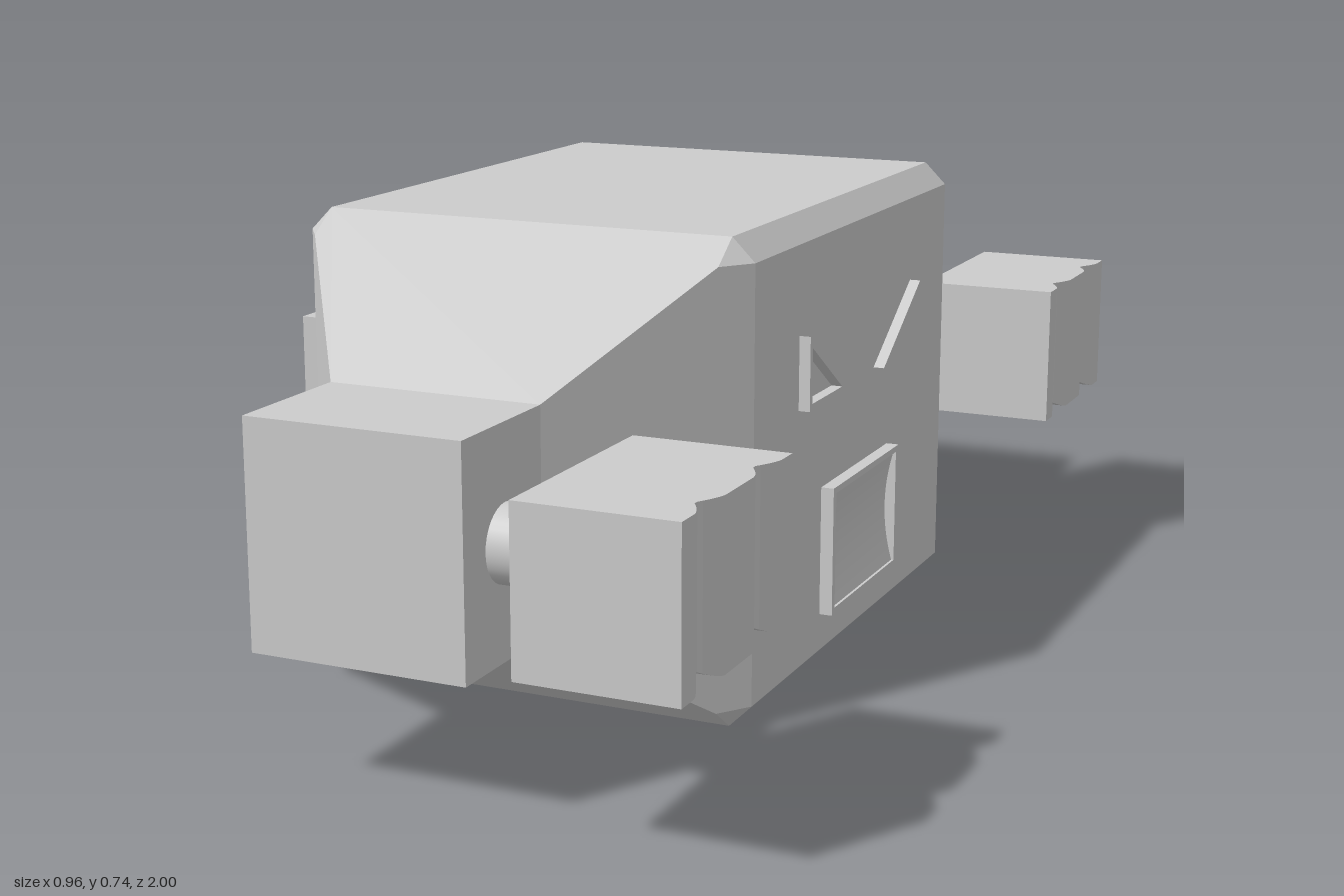
import * as THREE from 'three';
import { ConvexGeometry } from 'three/addons/geometries/ConvexGeometry.js';

const CX = -0.032, CY = 0.371, CZ = -0.006; // centre of the body
const FRONT_X = 0.339, BACK_X = -0.402;

const flat = new THREE.MeshStandardMaterial({ color: 0xcccccc, flatShading: true });
const smooth = new THREE.MeshStandardMaterial({ color: 0xcccccc });

function add(parent, name, geometry, x, y, z, material = flat) {
  const mesh = new THREE.Mesh(geometry, material);
  mesh.name = name;
  mesh.position.set(x, y, z);
  parent.add(mesh);
  return mesh;
}

// Chamfered block whose two ends taper to a smaller square
function bodyGeometry() {
  const h = 0.37, c = 0.036, small = 0.168, z0 = 0.432, taper = 0.279;
  const corner = z0 + taper * c / (h - small);
  const points = [];
  for (const sx of [-1, 1]) for (const sy of [-1, 1]) for (const sz of [-1, 1]) {
    const p = (x, y, z) => points.push(new THREE.Vector3(sx * x, sy * y, sz * z));
    p(h, h - c, z0);
    p(h - c, h, z0);
    p(h - c, h - c, corner);
    p(small, small, z0 + taper);
  }
  return new ConvexGeometry(points);
}

// Fist: a box with two creases between the fingers, down the front and fading out underneath
function handGeometry() {
  const w = 0.237, h = 0.24, d = 0.364;
  const g = new THREE.BoxGeometry(w, h, d, 4, 1, 48);
  const pos = g.attributes.position;
  for (let i = 0; i < pos.count; i++) {
    const x = pos.getX(i), y = pos.getY(i), z = pos.getZ(i);
    const u = Math.min(1, Math.abs(Math.abs(z) - 0.095) / 0.048);
    const groove = 0.022 * Math.pow(1 - u, 1.4);
    const t = x / w + 0.5;
    pos.setX(i, x - groove * t);
    if (y < 0) pos.setY(i, y + groove * t * 0.8);
  }
  return g;
}

// Extruded outline with a hole
function frameGeometry(outer, inner, depth) {
  const toPoints = (list) => list.map(([x, y]) => new THREE.Vector2(x, y));
  const shape = new THREE.Shape(toPoints(outer));
  shape.holes.push(new THREE.Path(toPoints(inner)));
  return new THREE.ExtrudeGeometry(shape, { depth, bevelEnabled: false });
}

const rect = (a, b) => [[-a, -b], [a, -b], [a, b], [-a, b]];

export function createModel() {
  const model = new THREE.Group();
  model.name = 'blockRobot';

  add(model, 'body', bodyGeometry(), CX, CY, CZ);

  // Arms with wrists and fists on both ends
  for (const s of [-1, 1]) {
    const arm = new THREE.Group();
    arm.name = s > 0 ? 'frontArm' : 'rearArm';
    model.add(arm);
    add(arm, 'shoulderBlock', new THREE.BoxGeometry(0.336, 0.336, 0.224), CX, CY, CZ + s * 0.821);
    const wristGeo = new THREE.CylinderGeometry(0.057, 0.057, 0.15, 32).rotateZ(Math.PI / 2);
    add(arm, 'wrist', wristGeo, 0.185, CY, CZ + s * 0.816, smooth);
    add(arm, 'hand', handGeometry(), 0.3615, CY, s * 0.817);
  }

  // Slanted triangular eyes
  for (const s of [-1, 1]) {
    const L = 0.175, H = 0.116, r = (L + H - Math.hypot(L, H)) / 2;
    const outer = [[0, 0], [L, 0], [0, H]];
    const inner = outer.map(([x, y]) => [r + (x - r) * 0.74, r + (y - r) * 0.74]);
    const flip = (list) => list.map(([x, y]) => [s * (x - 0.255), y]);
    const eye = add(model, s > 0 ? 'frontEye' : 'rearEye',
      frameGeometry(flip(outer), flip(inner), 0.018), FRONT_X - 0.001, 0.45, CZ);
    eye.rotation.y = Math.PI / 2;
  }

  // Mouth: a thin frame around a hollowed panel
  const mouth = new THREE.Group();
  mouth.name = 'mouth';
  mouth.position.set(FRONT_X - 0.001, 0.201, CZ);
  mouth.rotation.y = Math.PI / 2;
  model.add(mouth);
  add(mouth, 'mouthFrame', frameGeometry(rect(0.153, 0.104), rect(0.141, 0.094), 0.021), 0, 0, 0);
  const panel = new THREE.PlaneGeometry(0.284, 0.19, 1, 16);
  const pos = panel.attributes.position;
  for (let i = 0; i < pos.count; i++) pos.setZ(i, 0.003 + 0.014 * (pos.getY(i) / 0.095) ** 2);
  panel.computeVertexNormals();
  add(mouth, 'mouthPanel', panel, 0, 0, 0, smooth);

  // Two open square sockets on the back
  for (const s of [-1, 1]) {
    const socket = add(model, s > 0 ? 'frontSocket' : 'rearSocket',
      frameGeometry(rect(0.115, 0.115), rect(0.095, 0.095), 0.079), BACK_X + 0.001, 0.43, CZ + s * 0.233);
    socket.rotation.y = -Math.PI / 2;
  }

  return model;
}
